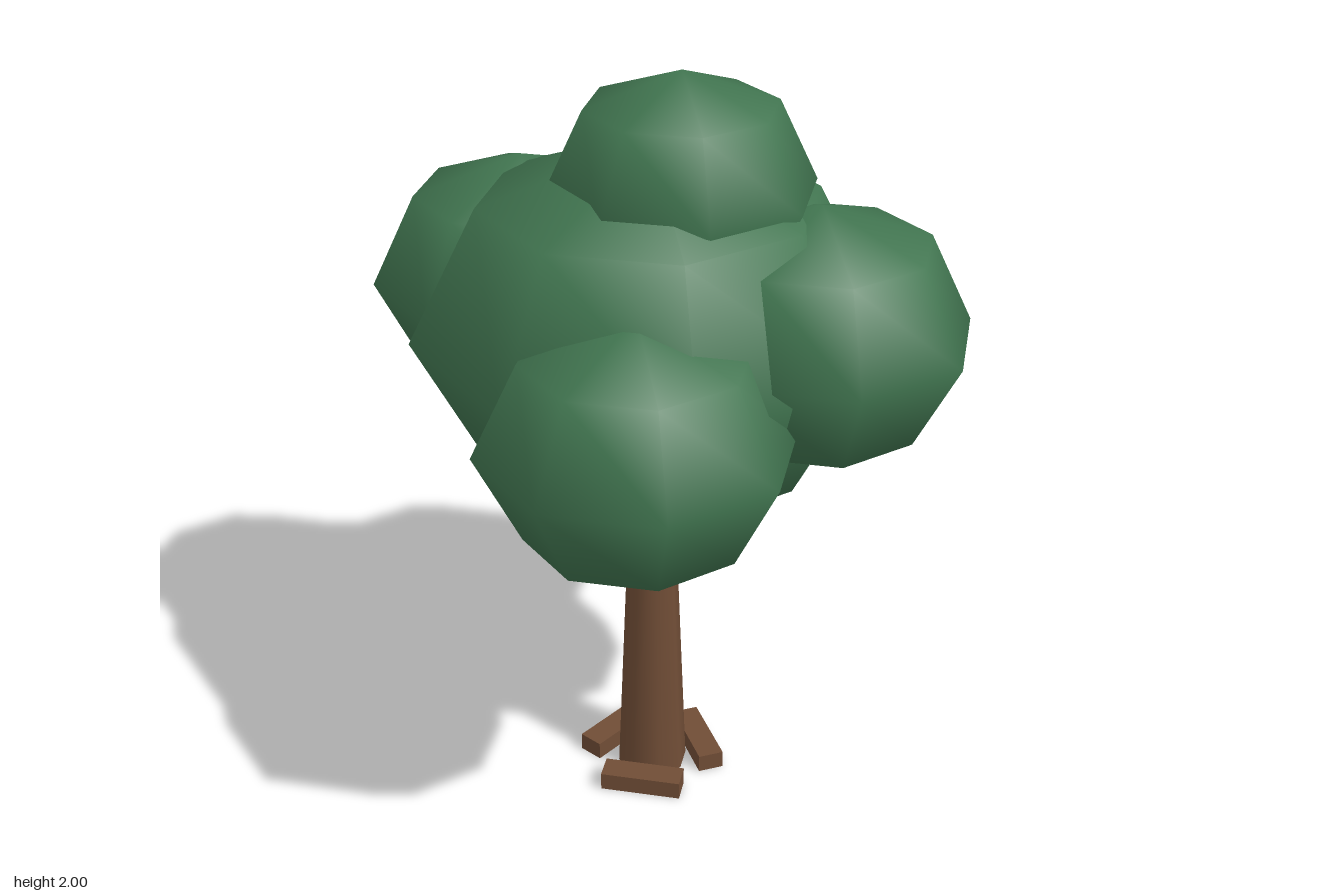
import * as THREE from 'three';

export function createModel() {
  const group = new THREE.Group();
  const bark = new THREE.MeshStandardMaterial({ color: 0x704d36 });
  bark.name = 'bark brown';
  const leaf = new THREE.MeshStandardMaterial({ color: 0x417550 });
  leaf.name = 'leaf green';
  const cx = 0.005, cz = 0.02; // trunk axis

  const add = (name, geometry, material) => {
    const mesh = new THREE.Mesh(geometry, material);
    mesh.name = name;
    group.add(mesh);
    return mesh;
  };

  // Point at a distance from the trunk axis, at an azimuth measured from +z towards +x
  const around = (azimuth, distance, y) =>
    new THREE.Vector3(cx + distance * Math.sin(azimuth), y, cz + distance * Math.cos(azimuth));

  // Tapered trunk
  add('trunk', new THREE.CylinderGeometry(0.06, 0.096, 0.87, 8), bark).position.set(cx, 0.435, cz);

  // Three root blocks lying around the foot
  [23, 143, 263].forEach((deg, i) => {
    const a = THREE.MathUtils.degToRad(deg);
    const root = add(`root${i + 1}`, new THREE.BoxGeometry(0.22, 0.05, 0.07), bark);
    root.position.copy(around(a, 0.137, 0.025));
    root.rotation.y = a;
  });

  // Three branches rising outwards into the foliage
  const up = new THREE.Vector3(0, 1, 0);
  [50, 170, 290].forEach((deg, i) => {
    const a = THREE.MathUtils.degToRad(deg);
    const start = around(a, 0.02, 0.775), end = around(a, 0.19, 0.975);
    const dir = end.clone().sub(start);
    const branch = add(`branch${i + 1}`, new THREE.CylinderGeometry(0.024, 0.036, dir.length(), 8), bark);
    branch.position.copy(start).add(end).multiplyScalar(0.5);
    branch.quaternion.setFromUnitVectors(up, dir.normalize());
  });

  // Foliage clumps: name, centre, radius, half height
  const clumps = [
    ['mainFoliage', 0, 1.35, 0.02, 0.6, 0.48],
    ['topFoliage', 0.055, 1.71, -0.033, 0.338, 0.29],
    ['rightFoliage', -0.4, 1.39, 0.013, 0.39, 0.327],
    ['leftFoliage', 0.4, 1.39, -0.113, 0.39, 0.325],
    ['frontFoliage', 0.21, 1.24, 0.38, 0.388, 0.325],
    ['backFoliage', -0.055, 1.24, -0.388, 0.39, 0.325],
  ];
  for (const [name, x, y, z, r, h] of clumps) {
    const clump = add(name, new THREE.SphereGeometry(1, 8, 4), leaf);
    clump.position.set(x, y, z);
    clump.scale.set(r, h, r);
  }
  return group;
}
